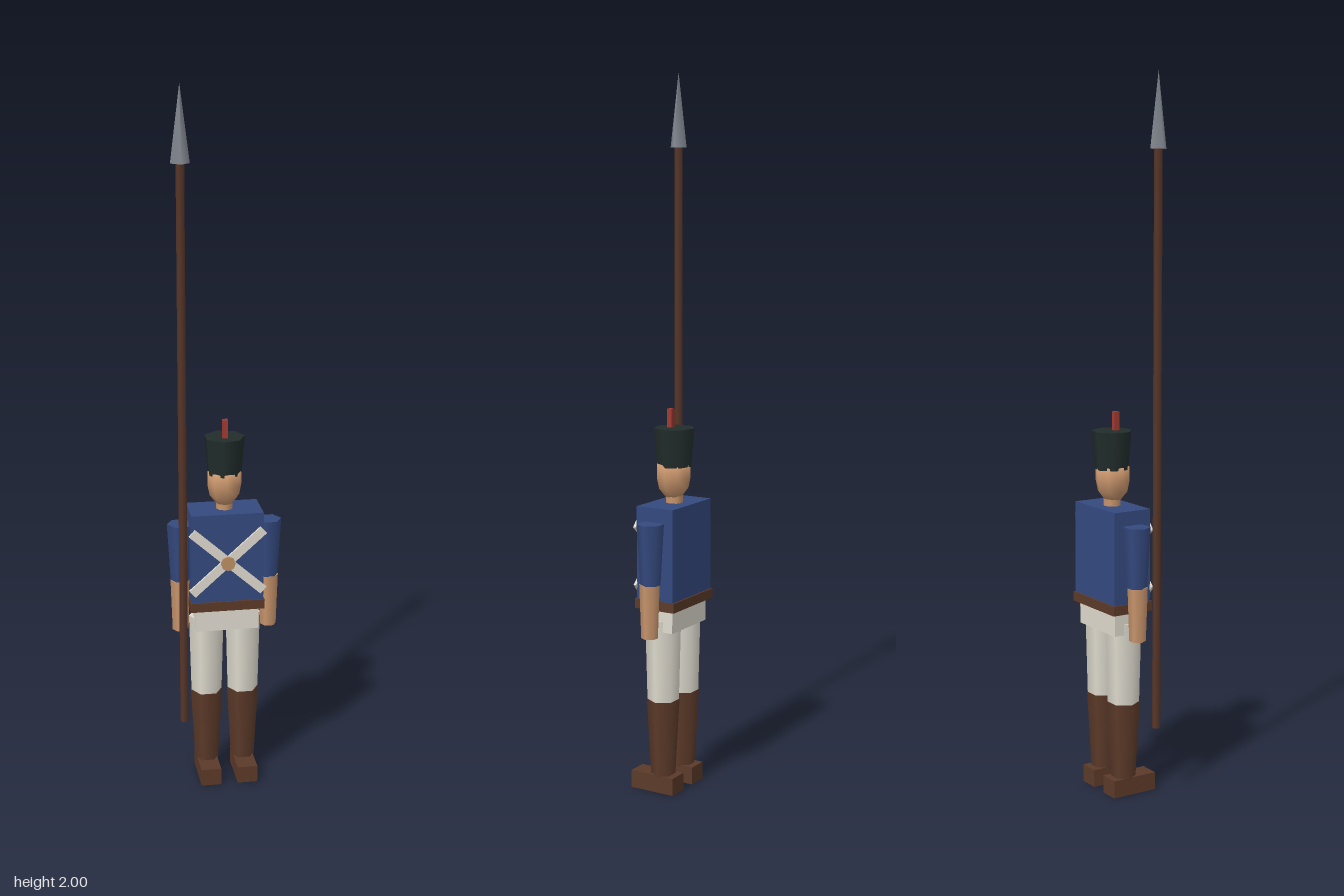
import * as THREE from 'three';

export function createModel() {
  const soldier = new THREE.Group();
  soldier.name = 'toySoldier';

  const mat = (name, color) => {
    const m = new THREE.MeshStandardMaterial({ color });
    m.name = name;
    return m;
  };
  const blue = mat('coatBlue', 0x34497f);
  const white = mat('trouserWhite', 0xdedace);
  const brown = mat('leatherBrown', 0x5c3a29);
  const wood = mat('poleWood', 0x573629);
  const skin = mat('skin', 0xc8956c);
  const black = mat('hatBlack', 0x212d2b);
  const steel = mat('steel', 0x858b94);
  const red = mat('plumeRed', 0xa03a30);
  const brass = mat('brass', 0xbd8f62);

  const add = (name, geometry, material, x, y, z) => {
    const mesh = new THREE.Mesh(geometry, material);
    mesh.name = name;
    mesh.position.set(x, y, z);
    soldier.add(mesh);
    return mesh;
  };
  const box = (name, material, w, y0, y1, d, x, z) =>
    add(name, new THREE.BoxGeometry(w, y1 - y0, d), material, x, (y0 + y1) / 2, z);
  // Tapered prism with one corner pointing along +x
  const prism = (name, material, rTop, rBottom, y0, y1, sides, x, z) =>
    add(name, new THREE.CylinderGeometry(rTop, rBottom, y1 - y0, sides, 1, false, Math.PI / 2),
      material, x, (y0 + y1) / 2, z);

  // Body
  box('torso', blue, 0.204, 0.55, 0.82, 0.116, 0, -0.014);
  box('belt', brown, 0.211, 0.533, 0.56, 0.126, 0, -0.014);
  box('hips', white, 0.18, 0.47, 0.54, 0.103, 0, -0.012);

  // Limbs, mirrored left and right
  for (const [side, s] of [['left', 1], ['right', -1]]) {
    prism(side + 'Sleeve', blue, 0.0375, 0.028, 0.61, 0.78, 6, s * 0.126, -0.015);
    prism(side + 'Forearm', skin, 0.028, 0.023, 0.46, 0.612, 6, s * 0.127, -0.013);
    prism(side + 'Trouser', white, 0.05, 0.044, 0.262, 0.5, 6, s * 0.053, -0.011);
    prism(side + 'Boot', brown, 0.046, 0.034, 0.045, 0.267, 6, s * 0.053, -0.011);
    box(side + 'Foot', brown, 0.058, 0, 0.05, 0.137, s * 0.053, 0.0085);
  }

  // Crossed chest straps and buckle
  for (const s of [1, -1]) {
    const strap = box(s > 0 ? 'strapRising' : 'strapFalling', white,
      0.272, 0.667, 0.693, 0.008, 0, 0.0465 + s * 0.0005);
    strap.rotation.z = s * 0.73;
  }
  const buckle = add('buckle', new THREE.CylinderGeometry(0.021, 0.021, 0.01, 8),
    brass, 0, 0.677, 0.051);
  buckle.rotation.x = Math.PI / 2;

  // Neck and head
  prism('neck', skin, 0.024, 0.024, 0.81, 0.85, 8, 0, -0.015);
  const profile = [[0, 0.832], [0.024, 0.837], [0.042, 0.86], [0.048, 0.89], [0.048, 0.93], [0, 0.94]]
    .map(([r, y]) => new THREE.Vector2(r, y));
  add('head', new THREE.LatheGeometry(profile, 8), skin, 0, 0, -0.013);

  // Hat and plume
  prism('hat', black, 0.058, 0.049, 0.923, 1.03, 7, 0, -0.015);
  box('plume', red, 0.015, 1.025, 1.082, 0.015, 0, -0.003);

  // Spear
  prism('spearPole', wood, 0.0115, 0.0115, 0.2, 1.8, 6, -0.127, 0.05);
  add('spearHead', new THREE.ConeGeometry(0.026, 0.205, 4), steel, -0.127, 1.8975, 0.05);

  return soldier;
}
